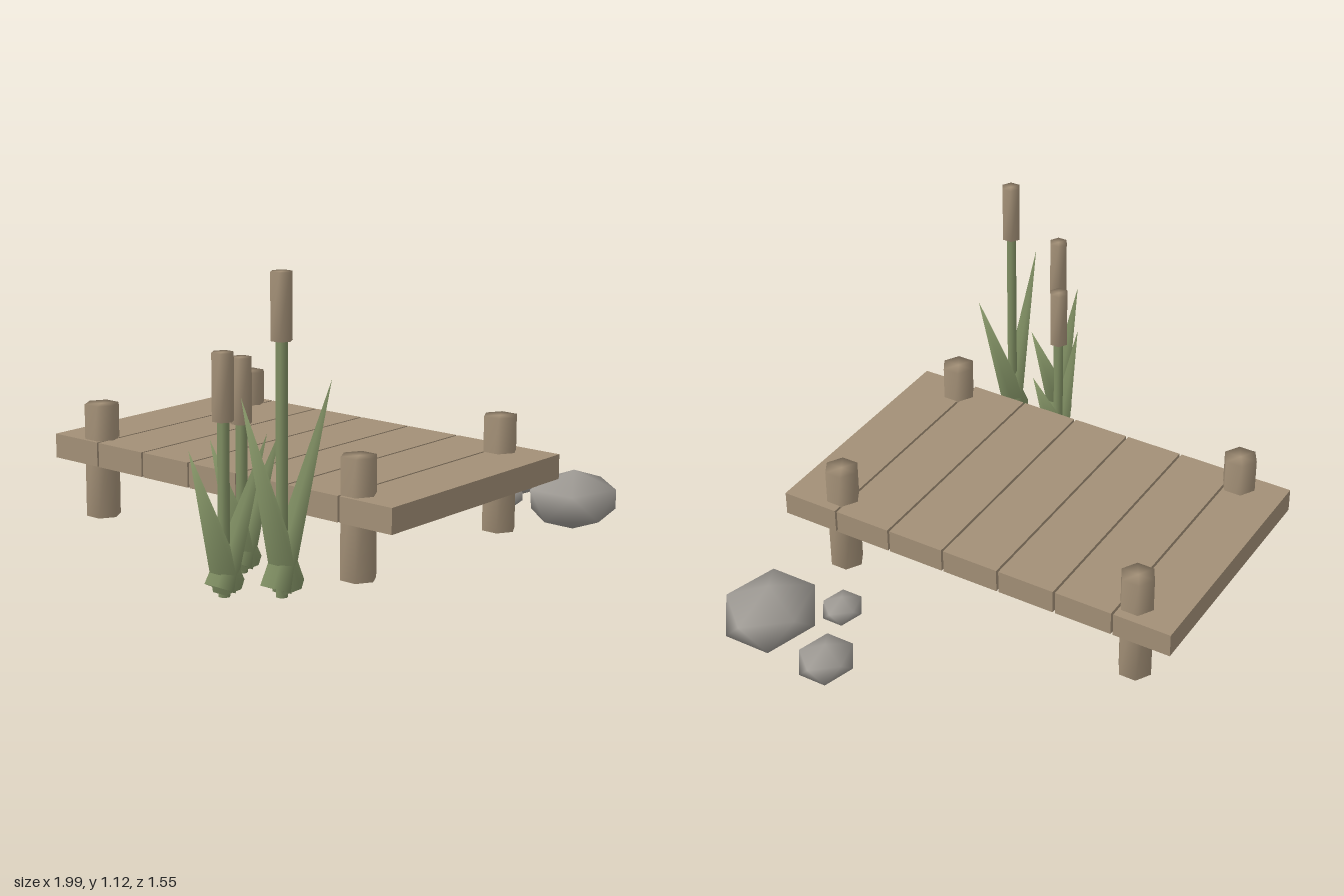
import * as THREE from 'three';
import { mergeVertices } from 'three/addons/utils/BufferGeometryUtils.js';
import { ConvexGeometry } from 'three/addons/geometries/ConvexGeometry.js';

const material = (name, color) => {
  const m = new THREE.MeshStandardMaterial({ color });
  m.name = name;
  return m;
};

// Weld all corners so shading runs smoothly over every edge
function smooth(geometry) {
  geometry.deleteAttribute('uv');
  geometry.deleteAttribute('normal');
  const welded = mergeVertices(geometry, 1e-4);
  welded.computeVertexNormals();
  return welded;
}

function addMesh(parent, name, geometry, mat, x, y, z) {
  const mesh = new THREE.Mesh(geometry, mat);
  mesh.name = name;
  mesh.position.set(x, y, z);
  parent.add(mesh);
  return mesh;
}

// Upright six-sided rod between two heights
function addRod(parent, name, mat, radius, bottom, top, x, z) {
  const geometry = smooth(new THREE.CylinderGeometry(radius, radius, top - bottom, 6));
  return addMesh(parent, name, geometry, mat, x, (bottom + top) / 2, z);
}

// Pointed blade from a base centre to a tip
function addBlade(parent, mat, base, tip, radius) {
  const axis = tip.clone().sub(base);
  const length = axis.length();
  const geometry = smooth(new THREE.ConeGeometry(radius, length, 6).translate(0, length / 2, 0));
  const mesh = addMesh(parent, 'leafBlade', geometry, mat, base.x, base.y, base.z);
  mesh.quaternion.setFromUnitVectors(new THREE.Vector3(0, 1, 0), axis.normalize());
}

// Twelve-cornered stone with a pole at the top and bottom
function stoneGeometry(size) {
  const points = [new THREE.Vector3(0, 1, 0), new THREE.Vector3(0, -1, 0)];
  for (let i = 0; i < 5; i++) {
    const a = (i * Math.PI * 2) / 5;
    const x = 0.894 * Math.cos(a), z = 0.894 * Math.sin(a);
    points.push(new THREE.Vector3(x, 0.447, z), new THREE.Vector3(-x, -0.447, -z));
  }
  return smooth(new ConvexGeometry(points).scale(size, size * 0.55, size * 0.85));
}

export function createModel() {
  const model = new THREE.Group();
  model.name = 'dock';
  const wood = material('wood', 0xa39077);
  const green = material('reedGreen', 0x808f63);
  const grey = material('stoneGrey', 0x9f9b95);

  // Deck planks
  const plank = new THREE.BoxGeometry(0.93, 0.088, 0.214);
  for (let i = -3; i <= 3; i++) addMesh(model, 'plank', plank, wood, -0.015, 0.32, i * 0.2225 - 0.002);

  // Corner posts
  for (const x of [-0.413, 0.362])
    for (const z of [-0.605, 0.583]) addRod(model, 'post', wood, 0.0625, 0.08, 0.49, x, z);

  // Reeds: position, seed head span, leaf tips as [x, y], base offset
  const reeds = [
    { x: -0.845, z: 0.395, head: [0.65, 0.866], tips: [[-1.0, 0.585], [-0.642, 0.575]], offset: 0.02 },
    { x: -0.73, z: 0.535, head: [0.903, 1.117], tips: [[-0.915, 0.755], [-0.49, 0.745]], offset: 0.03 },
    { x: -0.618, z: 0.262, head: [0.583, 0.8], tips: [[-0.765, 0.555], [-0.428, 0.53]], offset: 0.02 },
  ];
  for (const { x, z, head, tips, offset } of reeds) {
    const reed = new THREE.Group();
    reed.name = 'reed';
    model.add(reed);
    addRod(reed, 'stem', green, 0.02, 0.085, head[0] + 0.02, x, z);
    addRod(reed, 'seedHead', wood, 0.036, head[0], head[1], x, z);
    for (const [tx, ty] of tips) {
      const base = new THREE.Vector3(x - Math.sign(tx - x) * offset, 0.115, z);
      addBlade(reed, green, base, new THREE.Vector3(tx, ty, z), 0.054);
    }
  }

  // Stones
  for (const [size, x, z] of [[0.202, 0.77, 0.625], [0.119, 0.887, 0.305], [0.087, 0.633, 0.415]])
    addMesh(model, 'stone', stoneGeometry(size), grey, x, size === 0.202 ? 0.112 : 0.115, z);

  return model;
}
